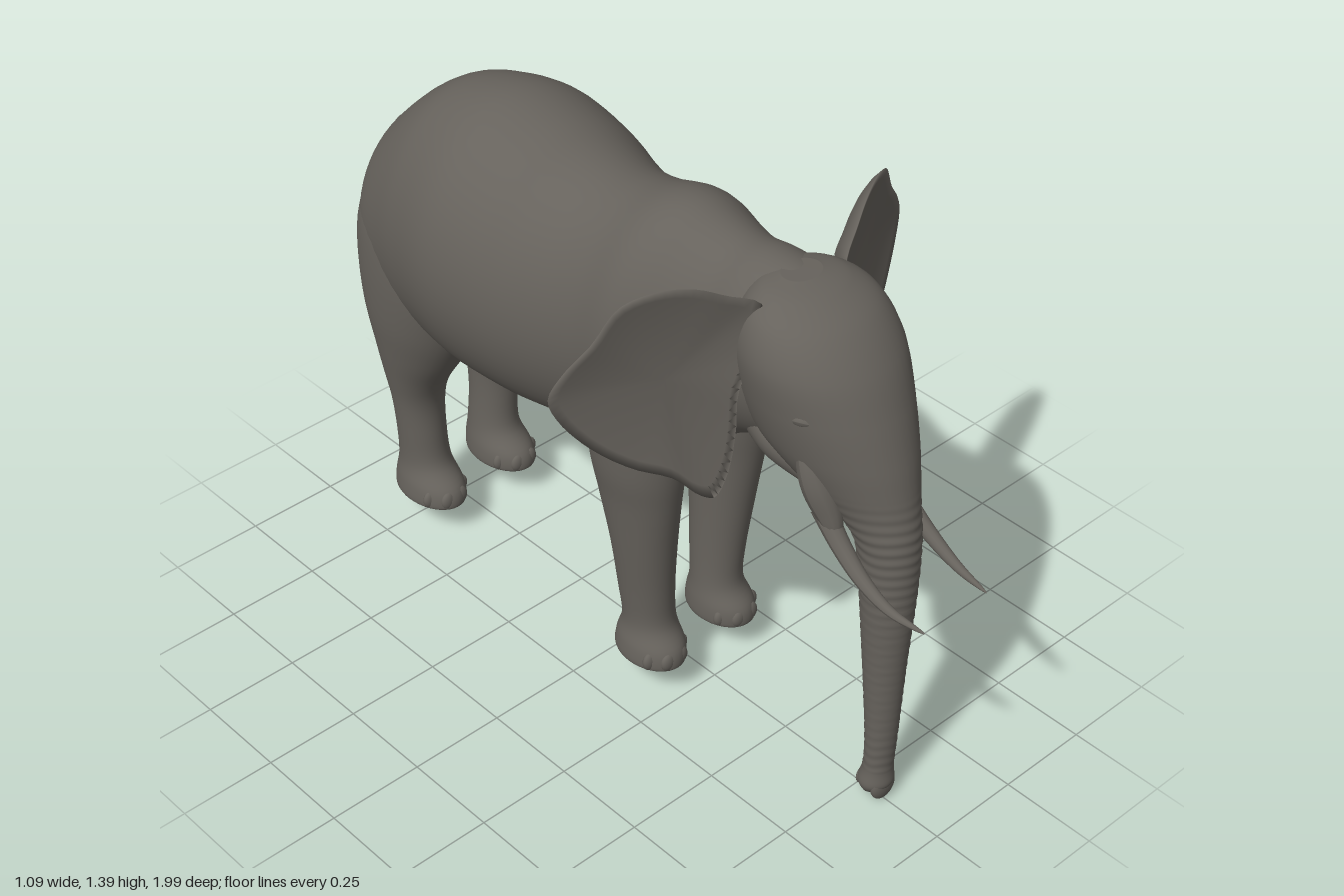
import * as THREE from 'three';

const hide = new THREE.MeshStandardMaterial({ color: 0x66625c });
hide.name = 'greyHide';

// Closed skin over rings of points; outward = ring direction x loft direction
function skin(rings, flip = false) {
  const m = rings[0].length, pos = [], idx = [];
  rings.forEach(r => r.forEach(p => pos.push(...p)));
  for (let i = 0; i < rings.length - 1; i++) for (let j = 0; j < m; j++) {
    const k = (j + 1) % m, a = i * m + j, b = i * m + k, c = b + m, d = a + m;
    if (flip) idx.push(a, c, b, a, d, c); else idx.push(a, b, c, a, c, d);
  }
  const g = new THREE.BufferGeometry();
  g.setAttribute('position', new THREE.Float32BufferAttribute(pos, 3));
  g.setIndex(idx);
  g.computeVertexNormals();
  return g;
}

// Smooth values between table rows
function smoothRows(rows, steps) {
  const out = [], at = i => rows[Math.min(Math.max(i, 0), rows.length - 1)];
  for (let i = 0; i < rows.length - 1; i++) for (let s = 0; s < steps; s++) {
    const u = s / steps, [p, q, r, t] = [at(i - 1), at(i), at(i + 1), at(i + 2)];
    out.push(q.map((_, k) => q[k] + 0.5 * u * (r[k] - p[k] + u * (2 * p[k] - 5 * q[k] + 4 * r[k] - t[k]
      + u * (3 * (q[k] - r[k]) + t[k] - p[k])))));
  }
  return [...out, at(rows.length)];
}

// Rows ascend along the axis: [position, low, high, xMin, xMax]; rounded sections, closed ends
function loft(axis, rows, steps = 5, sides = 40, ripple = () => 0) {
  const all = smoothRows(rows, steps);
  const shut = r => [r[0], (r[1] + r[2]) / 2, (r[1] + r[2]) / 2, (r[3] + r[4]) / 2, (r[3] + r[4]) / 2];
  const rings = [shut(all[0]), ...all, shut(all[all.length - 1])].map(([t, lo, hi, x0, x1]) =>
    Array.from({ length: sides }, (_, j) => {
      const a = j / sides * Math.PI * 2, k = 1 + ripple(t, a);
      const x = (x0 + x1) / 2 + (x1 - x0) / 2 * Math.sin(a) * k;
      const v = (lo + hi) / 2 + (hi - lo) / 2 * Math.cos(a) * k;
      return axis === 'y' ? [x, t, v] : [x, v, t];
    }));
  return skin(rings, axis === 'z');
}

// Tube whose radius follows a rule
function taper(points, radius, segs = 28, sides = 14) {
  const curve = new THREE.CatmullRomCurve3(points.map(p => new THREE.Vector3(...p)));
  const g = new THREE.TubeGeometry(curve, segs, 1, sides);
  const pos = g.attributes.position, v = new THREE.Vector3();
  for (let i = 0; i < pos.count; i++) {
    const u = Math.floor(i / (sides + 1)) / segs, c = curve.getPointAt(u);
    v.fromBufferAttribute(pos, i).sub(c).multiplyScalar(radius(u)).add(c);
    pos.setXYZ(i, v.x, v.y, v.z);
  }
  g.computeVertexNormals();
  return g;
}

function ball(x, y, z, rx, ry, rz) {
  return new THREE.SphereGeometry(1, 20, 14).scale(rx, ry, rz).translate(x, y, z);
}

function mirrored(geo) {
  const g = geo.clone().scale(-1, 1, 1), ix = g.index;
  for (let i = 0; i < ix.count; i += 3) {
    const b = ix.getX(i + 1);
    ix.setX(i + 1, ix.getX(i + 2));
    ix.setX(i + 2, b);
  }
  return g;
}

// Cupped ear: front face grows out to the rim, back face returns, thicker near the root
function earGeometry() {
  const rim = new THREE.CatmullRomCurve3([
    [0.13, 1.32], [0.2, 1.355], [0.26, 1.383], [0.33, 1.39], [0.405, 1.365], [0.46, 1.28], [0.515, 1.215],
    [0.545, 1.155], [0.525, 1.09], [0.46, 1.0], [0.38, 0.93], [0.3, 0.885], [0.245, 0.825], [0.215, 0.812],
    [0.19, 0.87], [0.175, 0.98], [0.17, 1.1], [0.13, 1.22],
  ].map(([x, y]) => new THREE.Vector3(x, y, 0)), true).getPoints(64).slice(0, 64);
  const n = 10, rings = [];
  for (let k = 0; k <= 2 * n; k++) {
    const s = 1 - Math.abs(k - n) / n;
    rings.push(rim.map(p => {
      const x = 0.3 + (p.x - 0.3) * s, y = 1.14 + (p.y - 1.14) * s;
      const back = k > n ? (0.044 - 0.07 * (x - 0.25)) * (1 - s ** 6) : 0;
      return [x, y, 0.48 - 0.53 * (x - 0.17) - 0.028 * (1 - s * s) - back];
    }));
  }
  return skin(rings);
}

export function createModel() {
  const model = new THREE.Group();
  model.name = 'elephant';
  const add = (name, geo) => {
    const mesh = new THREE.Mesh(geo, hide);
    mesh.name = name;
    model.add(mesh);
  };
  const pair = (name, geo) => {
    add('left' + name, geo);
    add('right' + name, mirrored(geo));
  };

  // Barrel, shoulders and neck
  const bodyRows = [
    [-0.94, 0.91, 1.0, 0.03], [-0.915, 0.77, 1.07, 0.1], [-0.86, 0.67, 1.145, 0.18], [-0.8, 0.63, 1.21, 0.222],
    [-0.7, 0.605, 1.3, 0.257], [-0.6, 0.6, 1.355, 0.285], [-0.45, 0.6, 1.385, 0.315], [-0.3, 0.605, 1.36, 0.305],
    [-0.2, 0.612, 1.33, 0.28], [-0.1, 0.622, 1.32, 0.25], [0, 0.64, 1.335, 0.237], [0.1, 0.665, 1.365, 0.24],
    [0.17, 0.69, 1.37, 0.222], [0.24, 0.73, 1.355, 0.195], [0.32, 0.81, 1.343, 0.168], [0.4, 0.865, 1.35, 0.165],
    [0.49, 0.9, 1.342, 0.155], [0.56, 0.94, 1.31, 0.11],
  ];
  add('body', loft('z', bodyRows.map(([z, lo, hi, w]) => [z, lo, hi, -w, w]), 5, 56));

  // Head flowing down into the wrinkled trunk
  const headRows = [
    [0.025, 0.775, 0.82, 0.035], [0.05, 0.758, 0.842, 0.045], [0.1, 0.768, 0.84, 0.038], [0.2, 0.768, 0.845, 0.04],
    [0.4, 0.75, 0.853, 0.049], [0.6, 0.73, 0.864, 0.06], [0.72, 0.718, 0.867, 0.066], [0.8, 0.69, 0.862, 0.076],
    [0.86, 0.6, 0.852, 0.095], [0.93, 0.47, 0.838, 0.128], [1.0, 0.39, 0.82, 0.155], [1.1, 0.36, 0.785, 0.178],
    [1.2, 0.36, 0.738, 0.187], [1.28, 0.38, 0.672, 0.162], [1.325, 0.41, 0.595, 0.11], [1.343, 0.45, 0.53, 0.05],
  ];
  const wrinkle = (y, a) => y < 0.1 || y > 0.92 ? 0
    : 0.016 * Math.sin(y * 210 + 0.8 * Math.sin(3 * a)) * Math.min(1, (0.92 - y) * 8);
  add('headAndTrunk', loft('y', headRows.map(([y, lo, hi, w]) => [y, lo, hi, -w, w]), 18, 40, wrinkle));
  add('trunkFrontFinger', ball(0, 0.044, 0.822, 0.038, 0.044, 0.018));
  add('trunkBackFinger', ball(0, 0.045, 0.772, 0.036, 0.028, 0.015));

  // Lower jaw
  add('jaw', loft('z', [
    [0.4, 0.885, 1.1, 0.1], [0.5, 0.858, 1.05, 0.125], [0.6, 0.842, 1.0, 0.11], [0.66, 0.818, 0.93, 0.07],
    [0.69, 0.835, 0.88, 0.03],
  ].map(([z, lo, hi, w]) => [z, lo, hi, -w, w])));

  // Tusk sockets, tusks, eyes, ears
  const swell = u => 0.002 + 0.036 * Math.sqrt(Math.sin(Math.PI * Math.min(u, 0.999)));
  pair('TuskSocket', taper([[0.125, 1.04, 0.63], [0.116, 0.93, 0.67], [0.105, 0.86, 0.7], [0.105, 0.8, 0.73]], swell));
  pair('Tusk', taper([
    [0.105, 0.86, 0.68], [0.108, 0.79, 0.745], [0.112, 0.735, 0.82], [0.11, 0.7, 0.9], [0.1, 0.69, 0.995],
  ], u => 0.001 + 0.027 * Math.pow(1 - u, 0.65)));
  pair('Eye', ball(0.147, 1.08, 0.655, 0.012, 0.011, 0.016));
  pair('Brow', taper([[0.155, 1.09, 0.6], [0.15, 1.108, 0.65], [0.122, 1.1, 0.7]],
    u => 0.001 + 0.017 * Math.sin(Math.PI * u)));
  pair('Ear', earGeometry());

  // Legs: [height, back, front, inner, outer]
  pair('FrontLeg', loft('y', [
    [0.09, 0.06, 0.235, 0.055, 0.183], [0.1, 0.042, 0.245, 0.045, 0.194], [0.14, 0.045, 0.24, 0.045, 0.19],
    [0.2, 0.06, 0.205, 0.052, 0.176], [0.3, 0.052, 0.205, 0.055, 0.185], [0.45, 0.04, 0.22, 0.055, 0.205],
    [0.6, 0.01, 0.24, 0.05, 0.225], [0.72, -0.008, 0.253, 0.035, 0.245], [0.9, -0.02, 0.255, 0.02, 0.253],
    [1.07, 0, 0.235, 0.03, 0.24], [1.2, 0.05, 0.19, 0.05, 0.185], [1.25, 0.09, 0.16, 0.06, 0.13],
  ]));
  pair('HindLeg', loft('y', [
    [0.09, -0.815, -0.615, 0.055, 0.185], [0.1, -0.83, -0.602, 0.045, 0.196], [0.14, -0.828, -0.61, 0.046, 0.192],
    [0.2, -0.815, -0.66, 0.055, 0.18], [0.3, -0.808, -0.67, 0.06, 0.185], [0.4, -0.812, -0.668, 0.057, 0.195],
    [0.48, -0.827, -0.64, 0.05, 0.21], [0.58, -0.85, -0.575, 0.03, 0.23], [0.7, -0.88, -0.5, 0.005, 0.25],
    [0.85, -0.9, -0.42, -0.02, 0.258], [0.98, -0.885, -0.42, -0.03, 0.245], [1.1, -0.81, -0.46, -0.02, 0.2],
    [1.16, -0.74, -0.52, 0, 0.13],
  ]));

  // Toenails around the front of each foot
  for (const [name, z, r] of [['FrontToe', 0.145, 0.088], ['HindToe', -0.715, 0.1]])
    [-0.95, -0.32, 0.32, 0.95].forEach((a, i) => pair(name + (i + 1),
      ball(0.12 + 0.06 * Math.sin(a), 0.117, z + r * Math.cos(a), 0.023, 0.027, 0.014)));

  // Tail, thick at the root, with the skin fold beneath it
  add('tail', taper([
    [0, 1.1, -0.85], [0, 1.04, -0.92], [0, 0.96, -0.95], [0, 0.84, -0.965], [0, 0.7, -0.98], [0, 0.55, -0.992],
  ], u => 0.002 + 0.011 * Math.sqrt(Math.max(0, 1 - u)) + 0.04 * Math.pow(1 - u, 4)));
  add('tailFold', taper([[0, 0.96, -0.9], [0, 0.9, -0.91], [0, 0.76, -0.87], [0, 0.62, -0.8]],
    u => 0.002 + 0.036 * Math.sqrt(Math.sin(Math.PI * Math.min(u, 0.999)))));

  return model;
}
